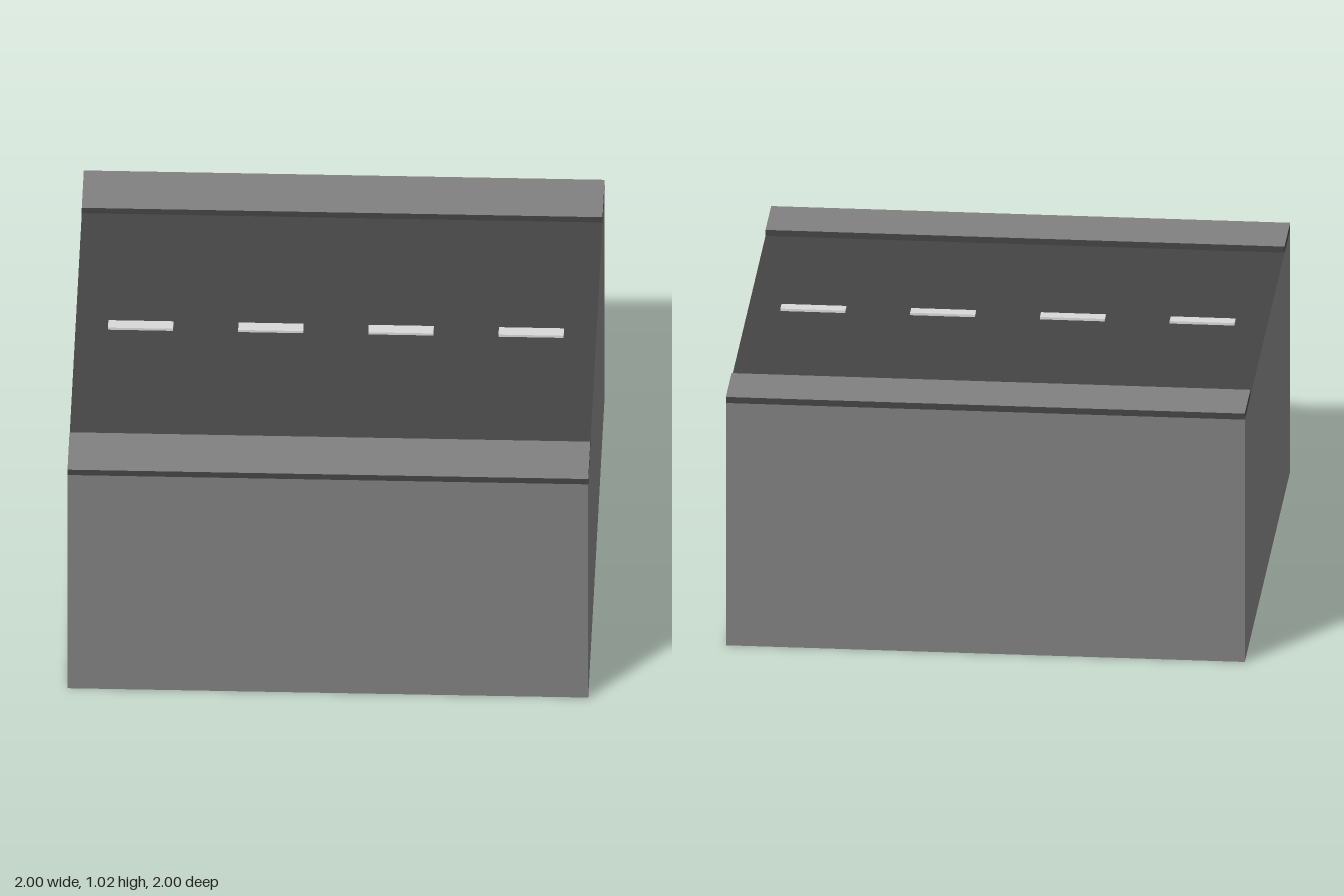
import * as THREE from 'three';

export function createModel() {
  const model = new THREE.Group();
  model.name = 'roadBlock';

  const material = (name, color) => {
    const m = new THREE.MeshStandardMaterial({ color });
    m.name = name;
    return m;
  };
  const concrete = material('concrete', 0x808080);
  const asphalt = material('asphalt', 0x444444);
  const paint = material('roadPaint', 0xd8d8d8);

  // Box standing on height y; sides and top may differ in colour
  const addBox = (name, w, h, d, x, y, z, sides, top = sides) => {
    const mesh = new THREE.Mesh(
      new THREE.BoxGeometry(w, h, d),
      [sides, sides, top, sides, sides, sides]
    );
    mesh.name = name;
    mesh.position.set(x, y + h / 2, z);
    model.add(mesh);
  };

  // Solid ground block with the road surface on top
  addBox('groundBlock', 2, 1, 2, 0, 0, 0, concrete, asphalt);

  // Raised pavements along both edges, with dark kerb faces
  for (const side of [1, -1]) {
    addBox(side > 0 ? 'frontPavement' : 'backPavement', 2, 0.025, 0.25, 0, 1, side * 0.875, asphalt, concrete);
  }

  // Dashed centre line
  for (let i = 0; i < 4; i++) {
    addBox(`laneDash${i + 1}`, 0.25, 0.0099, 0.05, -0.75 + i * 0.5, 1, 0, paint);
  }

  return model;
}
